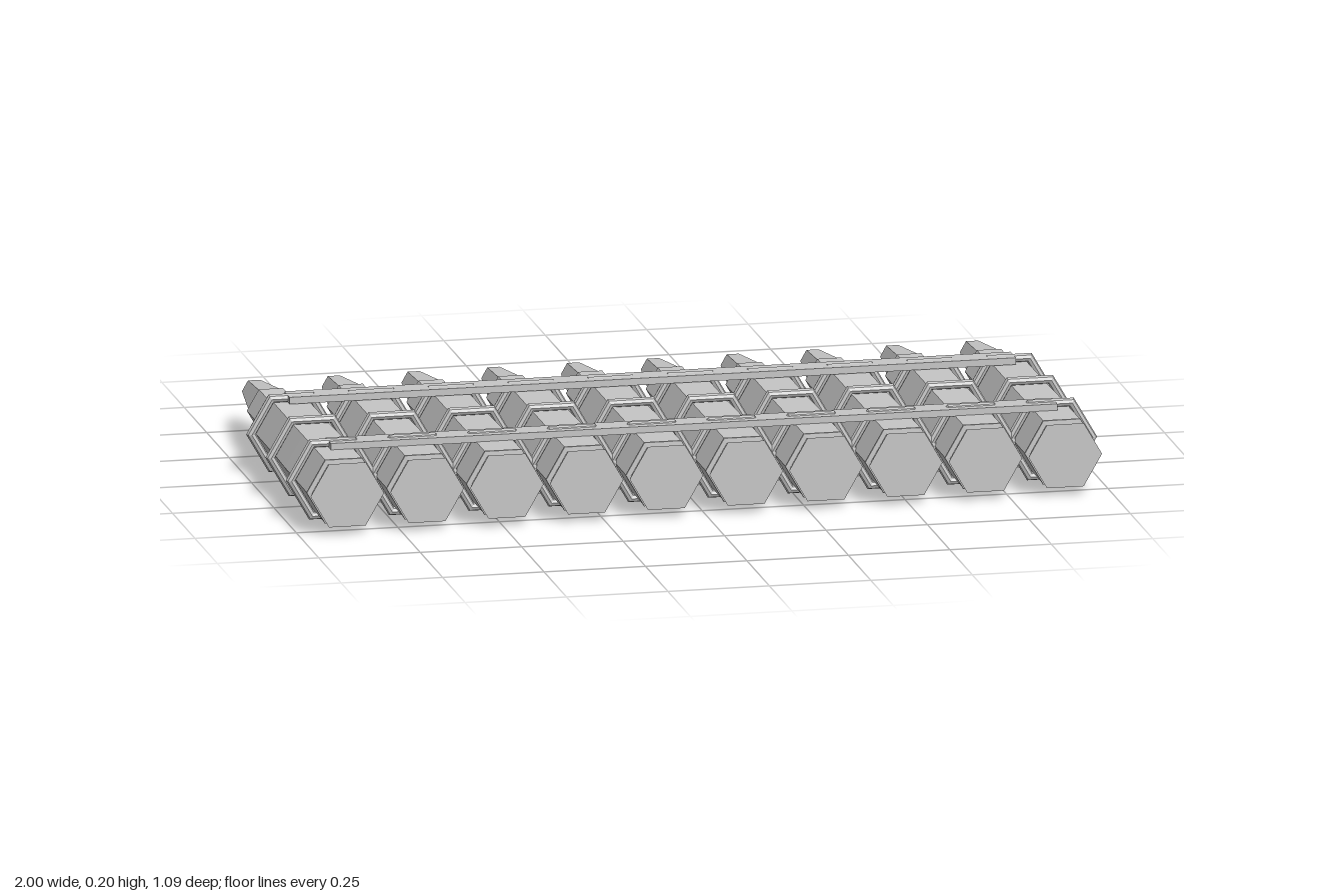
import * as THREE from 'three';

const COUNT = 10;
const SPACING = 0.1966;
const AXIS_Y = 0.1;

// Six-sided turned part lying along z, from [radius, z] pairs ordered back to front
function hexTurned(profile) {
  const points = profile.map(([r, z]) => new THREE.Vector2(r, z));
  const geometry = new THREE.LatheGeometry(points, 6, Math.PI / 2);
  geometry.rotateX(Math.PI / 2);
  return geometry;
}

export function createModel() {
  const model = new THREE.Group();
  model.name = 'cartridgeBelt';
  const metal = new THREE.MeshStandardMaterial({ color: 0xc6c6c6, flatShading: true });
  metal.name = 'grey metal';

  // Casing: neck, shoulder, body, extractor groove, rim and flat base
  const casing = hexTurned([
    [0, -0.305], [0.0595, -0.305], [0.0595, -0.2], [0.0865, -0.147], [0.0875, 0.15],
    [0.0895, 0.25], [0.0905, 0.5], [0.092, 0.504], [0.091, 0.508],
    [0.078, 0.509], [0.0905, 0.547], [0, 0.547],
  ]);
  // Bullet: long taper and short point
  const bullet = hexTurned([[0, -0.547], [0.03, -0.493], [0.0545, -0.305]]);

  // Link rings as [z, outer radius]
  const tube = 0.012;
  const rings = [[0.38, 0.115], [0.15, 0.114], [-0.08, 0.111]].map(([z, r]) =>
    new THREE.TorusGeometry(r - tube, tube, 8, 6).translate(0, 0, z));

  for (let i = 0; i < COUNT; i++) {
    const cartridge = new THREE.Group();
    cartridge.name = 'cartridge' + (i + 1);
    cartridge.position.set((i - (COUNT - 1) / 2) * SPACING, AXIS_Y, 0);
    const add = (geometry, name) => {
      const mesh = new THREE.Mesh(geometry, metal);
      mesh.name = name;
      cartridge.add(mesh);
    };
    add(casing, 'casing');
    add(bullet, 'bullet');
    rings.forEach((ring, n) => add(ring, 'linkRing' + (n + 1)));
    model.add(cartridge);
  }

  // Straps joining the cartridges across the top
  for (const [z, name] of [[0.38, 'frontStrap'], [-0.08, 'backStrap']]) {
    const strap = new THREE.Mesh(new THREE.BoxGeometry(1.79, 0.017, 0.06), metal);
    strap.name = name;
    strap.position.set(0, 0.1855, z);
    model.add(strap);
  }
  return model;
}
